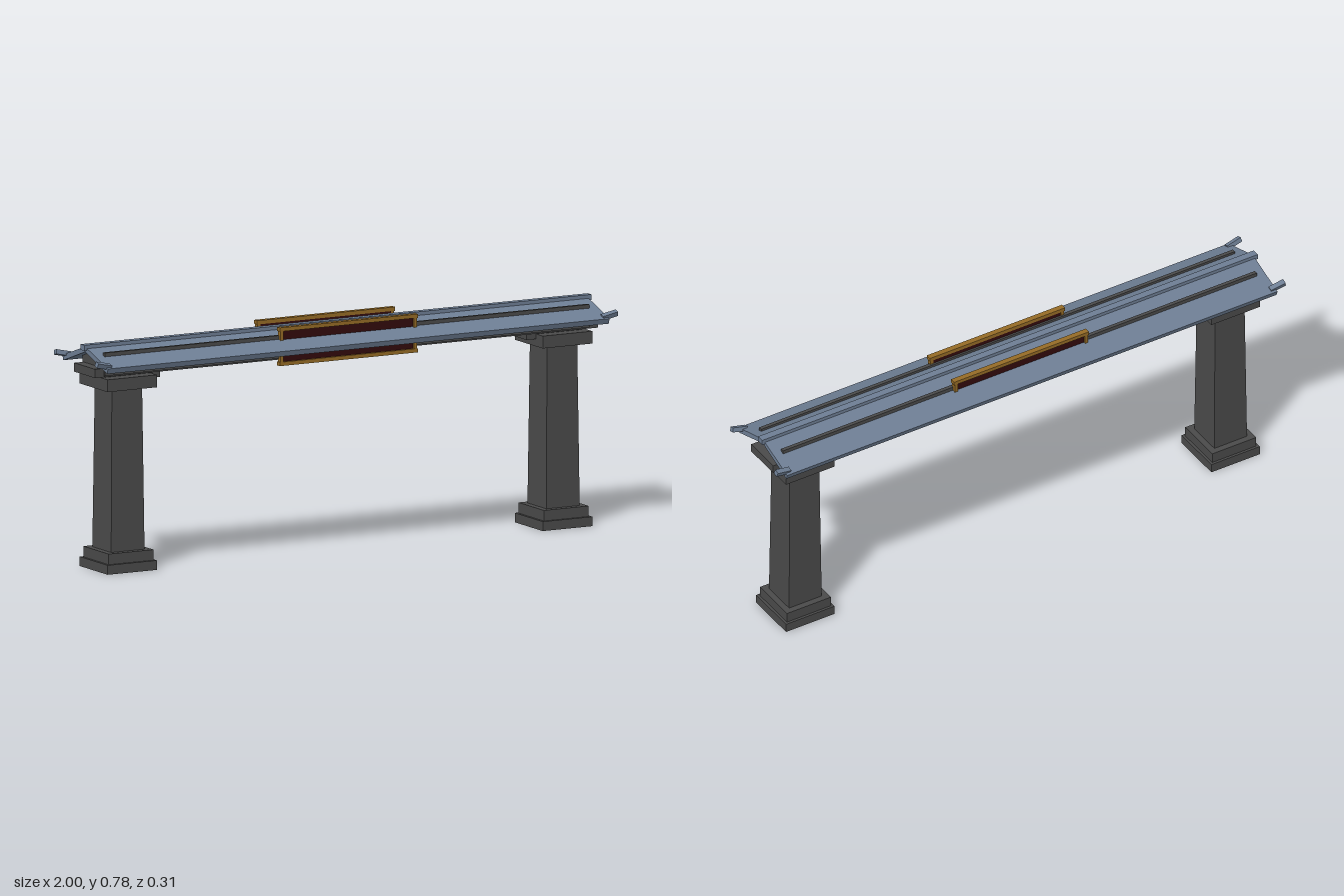
import * as THREE from 'three';

const stone = new THREE.MeshStandardMaterial({ color: 0x4a4a4a });
stone.name = 'darkStone';
const slate = new THREE.MeshStandardMaterial({ color: 0x6e7e94 });
slate.name = 'slateBlue';
const gold = new THREE.MeshStandardMaterial({ color: 0x966c26 });
gold.name = 'agedGold';
const red = new THREE.MeshStandardMaterial({ color: 0x330a0c });
red.name = 'deepRed';

export function createModel() {
  const gate = new THREE.Group();
  gate.name = 'gate';

  const add = (parent, name, geometry, material) => {
    const mesh = new THREE.Mesh(geometry, material);
    mesh.name = name;
    parent.add(mesh);
    return mesh;
  };
  // Box given by its limits on each axis
  const box = (parent, name, material, [x0, x1], [y0, y1], [z0, z1]) => {
    const mesh = add(parent, name, new THREE.BoxGeometry(x1 - x0, y1 - y0, z1 - z0), material);
    mesh.position.set((x0 + x1) / 2, (y0 + y1) / 2, (z0 + z1) / 2);
    return mesh;
  };
  // Section in (z, y) extruded along x, centred
  const beamOf = (parent, name, material, points, length) => {
    const shape = new THREE.Shape(points.map(([z, y]) => new THREE.Vector2(-z, y)));
    const geometry = new THREE.ExtrudeGeometry(shape, { depth: length, bevelEnabled: false });
    geometry.translate(0, 0, -length / 2).rotateY(Math.PI / 2);
    return add(parent, name, geometry, material);
  };

  // Pillars with stepped base, tapered shaft, capital and inner bracket
  for (const s of [-1, 1]) {
    const pillar = new THREE.Group();
    pillar.name = s > 0 ? 'leftPillar' : 'rightPillar';
    pillar.position.x = s * 0.835;
    gate.add(pillar);
    const span = (r) => [-r, r];
    box(pillar, 'plinth', stone, span(0.095), [0, 0.032], span(0.095));
    box(pillar, 'baseStep', stone, span(0.086), [0.032, 0.068], span(0.086));
    const shaft = new THREE.CylinderGeometry(0.058 * Math.SQRT2, 0.064 * Math.SQRT2, 0.554, 4, 1);
    shaft.rotateY(Math.PI / 4);
    const column = add(pillar, 'shaft', shaft.toNonIndexed(), stone);
    column.geometry.computeVertexNormals();
    column.position.y = 0.345;
    box(pillar, 'capital', stone, span(0.095), [0.62, 0.662], span(0.095));
    const ends = [s * 0.08, -s * 0.132].sort((a, b) => a - b);
    box(pillar, 'bracket', stone, ends, [0.645, 0.675], span(0.05));
  }

  // Lintel and the gabled body under the roof
  box(gate, 'lintel', stone, [-0.965, 0.965], [0.667, 0.697], [-0.07, 0.07]);
  beamOf(gate, 'gableBody', stone,
    [[-0.077, 0.672], [0.077, 0.672], [0.077, 0.722], [0, 0.748], [-0.077, 0.722]], 1.86);

  // Pitched roof slab and ridge
  beamOf(gate, 'roof', slate,
    [[0, 0.762], [0.155, 0.711], [0.149, 0.693], [0, 0.745], [-0.149, 0.693], [-0.155, 0.711]], 1.925);
  box(gate, 'ridge', slate, [-0.973, 0.973], [0.751, 0.77], [-0.013, 0.013]);

  for (const f of [-1, 1]) {
    const side = f > 0 ? 'front' : 'back';
    const zs = (a, b) => [f * a, f * b].sort((p, q) => p - q);

    // Raised strip through the roof
    box(gate, side + 'RoofStrip', stone, [-0.93, 0.93], [0.715, 0.75], zs(0.063, 0.076));

    // Upturned eave horns
    for (const s of [-1, 1]) {
      const horn = add(gate, side + 'EaveHorn', new THREE.BoxGeometry(0.056, 0.016, 0.018), slate);
      horn.position.set(s * 0.971, 0.72, f * 0.139);
      horn.rotation.set(f * 0.31, 0, s * 0.22);
    }

    // Framed name board, left blank
    const board = new THREE.Group();
    board.name = side + 'Board';
    gate.add(board);
    box(board, 'panel', red, [-0.255, 0.255], [0.658, 0.77], zs(0.07, 0.08));
    box(board, 'frameTop', gold, [-0.265, 0.265], [0.765, 0.778], zs(0.067, 0.087));
    box(board, 'frameBottom', gold, [-0.265, 0.265], [0.648, 0.661], zs(0.067, 0.087));
    for (const s of [-1, 1]) {
      const xs = [s * 0.25, s * 0.262].sort((p, q) => p - q);
      box(board, 'framePost', gold, xs, [0.661, 0.765], zs(0.069, 0.086));
    }
  }
  return gate;
}
